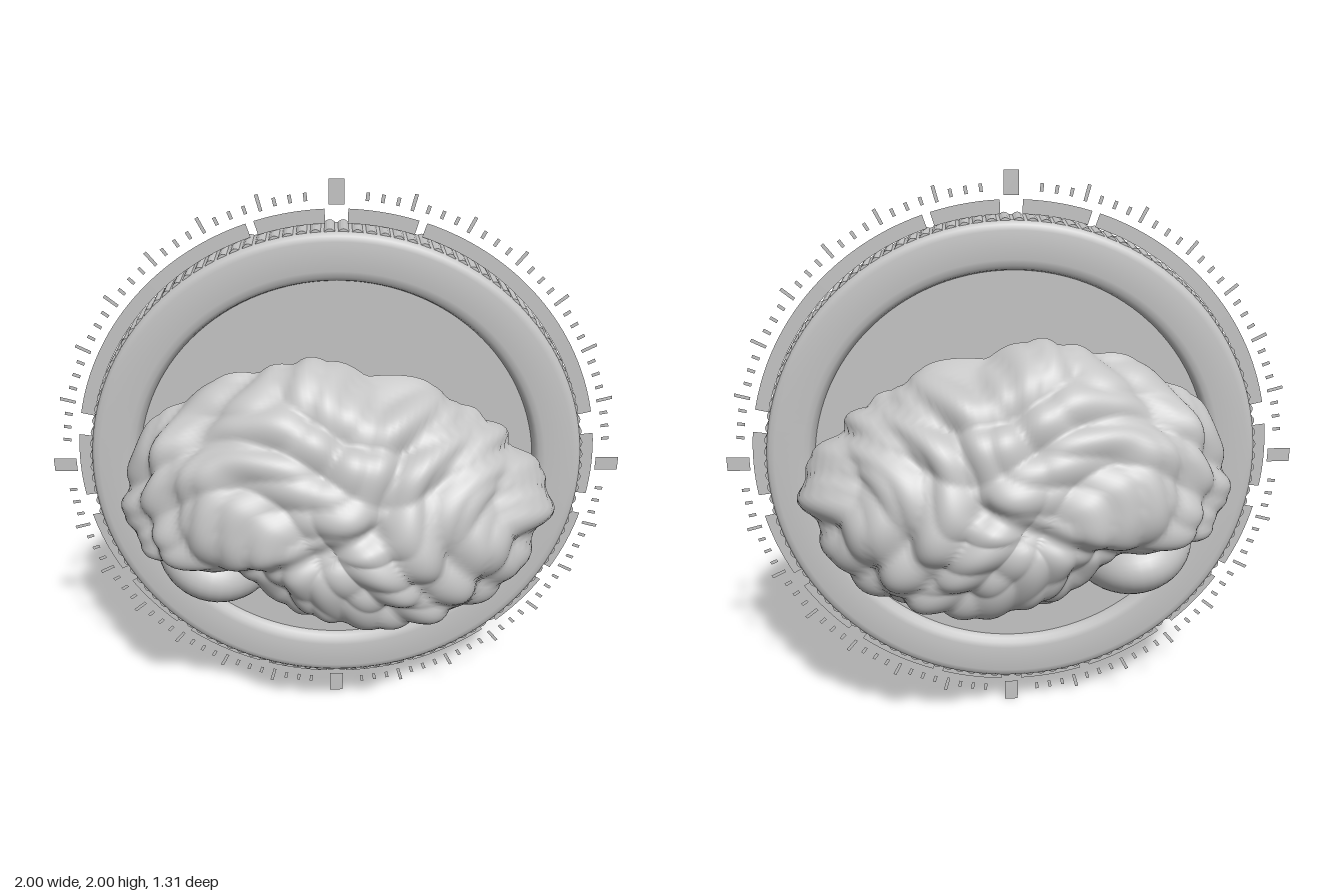
import * as THREE from 'three';
import { mergeGeometries, toCreasedNormals } from 'three/addons/utils/BufferGeometryUtils.js';

const grey = new THREE.MeshStandardMaterial({ color: 0xc4c4c4 });
grey.name = 'light grey';
const greySheet = new THREE.MeshStandardMaterial({ color: 0xc4c4c4, side: THREE.DoubleSide });
greySheet.name = 'light grey sheet';

const rad = THREE.MathUtils.degToRad;
const CY = 1; // height of the coin centre

function add(group, name, geometry, material = grey) {
  const mesh = new THREE.Mesh(geometry, material);
  mesh.name = name;
  group.add(mesh);
  return mesh;
}

// Side outline of a brain half
const outline = new THREE.CatmullRomCurve3([
  [0.68, 1.06], [0.61, 1.19], [0.49, 1.3], [0.33, 1.4], [0.13, 1.475], [-0.07, 1.51], [-0.2, 1.5],
  [-0.35, 1.45], [-0.45, 1.39], [-0.58, 1.33], [-0.64, 1.2], [-0.68, 1.05], [-0.63, 0.92],
  [-0.47, 0.87], [-0.32, 0.83], [-0.23, 0.745], [-0.12, 0.675], [0.06, 0.645], [0.3, 0.66],
  [0.49, 0.73], [0.6, 0.835], [0.66, 0.94],
].map(([x, y]) => new THREE.Vector3(x, y, 0)), true);

// Rounded folds with narrow valleys
function folds(x, y, z) {
  const a = x * 12 + 2.2 * Math.sin(y * 6 + 1) + 1.3 * Math.sin(z * 8 + x * 7);
  const b = y * 13 + 2 * Math.sin(x * 6.5 + 0.5) + 1.2 * Math.sin(z * 9 - y * 6);
  const c = (x - y) * 17 + 1.8 * Math.sin((x + y) * 9) + z * 9;
  let h = 0.026 * Math.abs(Math.sin(a)) + 0.026 * Math.abs(Math.sin(b)) + 0.012 * Math.abs(Math.sin(c)) - 0.036;
  // long groove above the lower lobe
  const t = THREE.MathUtils.clamp((x + 0.35) / 0.45, 0, 1);
  const gx = x - (-0.35 + 0.45 * t), gy = y - (0.86 + 0.2 * t);
  h -= 0.035 * Math.exp(-(gx * gx + gy * gy) / 0.0016);
  return h;
}

// Lumpy dome plus a slightly bowed inner face, on the side given by sign
function brainHalf(sign) {
  const N = 180, ROWS = 56, CAP = 10, cx = 0, cy = 1.07;
  const rim = outline.getSpacedPoints(N).slice(0, N);
  const innerZ = (x, y) => 0.28 + 0.05 * (x / 0.68) ** 2 + 0.05 * Math.max(0, (y - cy) / 0.45) ** 3;

  const domePoint = (p, phi) => {
    const dx = p.x - cx, dy = p.y - cy, len = Math.hypot(dx, dy);
    const c = Math.cos(phi), sn = Math.max(0, Math.sin(phi));
    const s = sn ** (1 - 0.28 * Math.max(0, -dy / len));
    let x = cx + dx * c, y = cy + dy * c - 0.08 * sn;
    let z = innerZ(p.x, p.y) * (1 - s) + 0.635 * s;
    const h = folds(x, y, z);
    x += h * c * dx / len;
    y += h * c * dy / len;
    z += h * sn;
    return [x, y, z * sign];
  };
  const capPoint = (p, t) => {
    const [ex, ey, ez] = domePoint(p, 0);
    const x = cx + (ex - cx) * t, y = cy + (ey - cy) * t;
    return [x, y, t === 1 ? ez : innerZ(x, y) * sign];
  };

  const grid = (rows, point, flip) => {
    const pos = [], idx = [];
    for (let j = 0; j <= rows; j++) for (const p of rim) pos.push(...point(p, j / rows));
    for (let j = 0; j < rows; j++) for (let i = 0; i < N; i++) {
      const a = j * N + i, b = j * N + (i + 1) % N, c = a + N, d = b + N;
      if (flip) idx.push(a, c, b, b, c, d);
      else idx.push(a, b, c, b, d, c);
    }
    const g = new THREE.BufferGeometry();
    g.setAttribute('position', new THREE.Float32BufferAttribute(pos, 3));
    g.setIndex(idx);
    g.computeVertexNormals();
    return g;
  };
  return mergeGeometries([
    grid(ROWS, (p, t) => domePoint(p, t * Math.PI / 2), sign < 0),
    grid(CAP, capPoint, sign < 0),
  ]);
}

// Recessed disc with a bevelled rim
function coinBody() {
  const half = [[0, 0.045], [0.685, 0.045], [0.692, 0.065], [0.705, 0.076], [0.725, 0.08],
    [0.82, 0.08], [0.838, 0.076], [0.848, 0.066], [0.85, 0.058]];
  const pts = [...half.map(([r, z]) => new THREE.Vector2(r, -z)),
    ...half.slice().reverse().map(([r, z]) => new THREE.Vector2(r, z))];
  return toCreasedNormals(new THREE.LatheGeometry(pts, 120).rotateX(Math.PI / 2), 0.7);
}

// Ridged edge of the coin
function coinRidges() {
  const TEETH = 120, STEPS = 6, pts = [];
  for (let i = 0; i < TEETH * STEPS; i++) {
    const a = i / (TEETH * STEPS) * Math.PI * 2;
    const r = 0.845 + 0.013 * Math.abs(Math.sin(a * TEETH / 2));
    pts.push(new THREE.Vector2(r * Math.cos(a), r * Math.sin(a)));
  }
  const shape = new THREE.Shape(pts);
  shape.holes.push(new THREE.Path().absarc(0, 0, 0.8, 0, Math.PI * 2, true));
  return new THREE.ExtrudeGeometry(shape, { depth: 0.124, bevelEnabled: false, curveSegments: 48 }).translate(0, 0, -0.062);
}

// Flat ring sector, angles in degrees
const sector = (r0, r1, a0, a1) =>
  new THREE.RingGeometry(r0, r1, Math.max(1, Math.round((a1 - a0) / 2)), 1, rad(a0), rad(a1 - a0));

export function createModel() {
  const model = new THREE.Group();
  model.name = 'brainCoin';

  const coin = new THREE.Group();
  coin.name = 'coin';
  coin.position.y = CY;
  model.add(coin);
  add(coin, 'coinBody', coinBody());
  add(coin, 'ridgedEdge', coinRidges());

  // Flat dial around the coin
  const dial = new THREE.Group();
  dial.name = 'dial';
  dial.position.y = CY;
  model.add(dial);

  const arcs = [[-7.6, 7.6], [172.4, 187.6]];
  for (const [a, b] of [[12.8, 71.3], [73, 87.6], [-28.5, -12.8], [-47.7, -32.4], [-70.7, -51.8], [-87.6, -73]]) {
    arcs.push([a, b], [180 - b, 180 - a]);
  }
  add(dial, 'dialArcs', mergeGeometries(arcs.map(([a, b]) => sector(0.86, 0.907, a, b))), greySheet);

  const ticks = [];
  for (let q = 0; q < 4; q++) for (let i = 0; i < 27; i++) {
    const a = q * 90 + 6 + i * 3;
    const long = i % 4 === 3;
    ticks.push(sector(long ? 0.93 : 0.935, long ? 0.985 : 0.962, a - 0.35, a + 0.35));
  }
  add(dial, 'dialTicks', mergeGeometries(ticks), greySheet);

  const bars = [0, 1, 2, 3].map(q =>
    new THREE.PlaneGeometry(0.08, 0.05).translate(0.96, 0, 0).rotateZ(q * Math.PI / 2));
  add(dial, 'dialBars', mergeGeometries(bars), greySheet);

  // Brain halves on both sides of the coin
  add(model, 'frontBrainHalf', brainHalf(1));
  add(model, 'backBrainHalf', brainHalf(-1));

  // Cerebellum and stem pass through the coin
  const cerebellum = add(model, 'cerebellum', new THREE.SphereGeometry(1, 40, 28));
  cerebellum.scale.set(0.225, 0.155, 0.335);
  cerebellum.rotation.z = rad(-12);
  cerebellum.position.set(-0.43, 0.69, 0);

  const stem = add(model, 'brainStem', new THREE.SphereGeometry(1, 32, 24));
  stem.scale.set(0.062, 0.165, 0.097);
  stem.rotation.z = rad(-11);
  stem.position.set(-0.163, 0.62, 0);

  return model;
}
